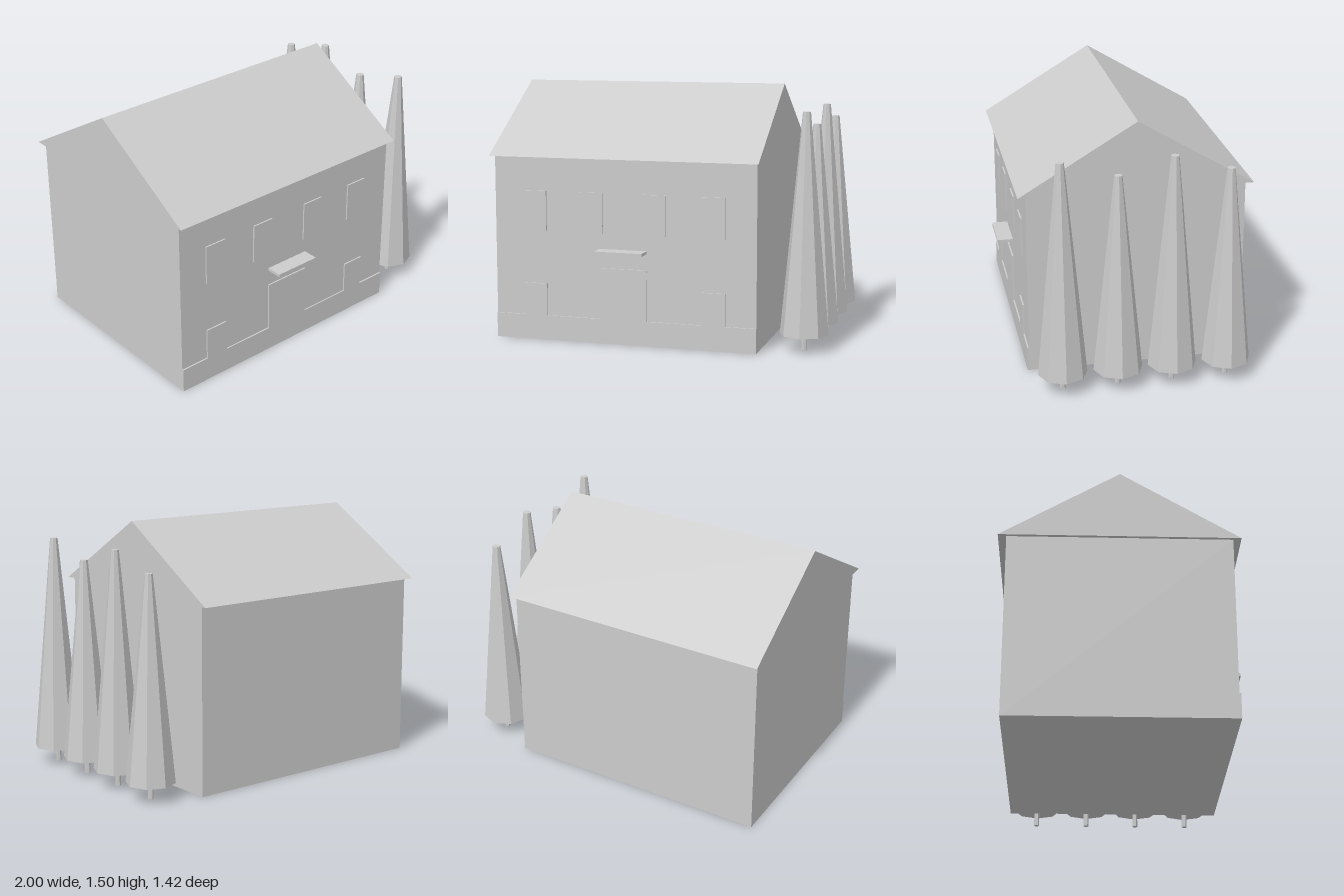
import * as THREE from 'three';

export function createModel() {
  const model = new THREE.Group();
  const grey = new THREE.MeshStandardMaterial({ color: 0xcccccc });
  grey.name = 'plain grey';

  const add = (name, geometry, parent = model) => {
    const mesh = new THREE.Mesh(geometry, grey);
    mesh.name = name;
    parent.add(mesh);
    return mesh;
  };

  // Box given by its low and high limits on each axis
  const addBox = (name, [x0, x1], [y0, y1], [z0, z1], parent) =>
    add(name, new THREE.BoxGeometry(x1 - x0, y1 - y0, z1 - z0), parent)
      .position.set((x0 + x1) / 2, (y0 + y1) / 2, (z0 + z1) / 2);

  // Flat-faced tapering cylinder standing on y
  const addTaper = (name, rTop, rBottom, y0, y1, sides, parent) => {
    const g = new THREE.CylinderGeometry(rTop, rBottom, y1 - y0, sides).toNonIndexed();
    g.computeVertexNormals();
    add(name, g, parent).position.y = (y0 + y1) / 2;
  };

  const left = 0.61, right = -0.98, front = 0.618, back = -0.662, eaves = 1.093;
  const relief = 0.009;

  // House body
  addBox('walls', [right, left], [0, eaves], [back, front]);

  // Gable roof: triangle across z, extruded along x
  const gable = new THREE.Shape([
    new THREE.Vector2(-0.663, eaves),
    new THREE.Vector2(0.709, eaves),
    new THREE.Vector2(0.023, 1.505),
  ]);
  const roof = new THREE.ExtrudeGeometry(gable, { depth: 1.625, bevelEnabled: false });
  roof.rotateY(Math.PI / 2).translate(-1, 0, 0);
  add('roof', roof);

  // Raised plinth that steps up around the lower windows and the door
  const plinthTop = 0.147;
  const outline = [[right, 0], [left, 0], [left, plinthTop]];
  for (const [x0, x1, top] of [[0.289, 0.428, 0.339], [-0.332, -0.043, 0.45], [-0.8, -0.658, 0.339]]) {
    outline.push([x1, plinthTop], [x1, top], [x0, top], [x0, plinthTop]);
  }
  outline.push([right, plinthTop]);
  const plinth = new THREE.ExtrudeGeometry(
    new THREE.Shape(outline.map(([x, y]) => new THREE.Vector2(x, y))),
    { depth: relief, bevelEnabled: false });
  add('plinthDoorAndLowerWindows', plinth).position.z = front;

  // Upper windows
  for (const x of [-0.729, -0.38, 0.005, 0.359]) {
    addBox('upperWindow', [x - 0.07, x + 0.07], [0.652, 0.892], [front, front + relief]);
  }

  // Canopy over the door
  addBox('doorCanopy', [-0.332, -0.043], [0.546, 0.563], [front, 0.713]);

  // Row of trees beside the house
  [[0.457, 1.377], [0.135, 1.282], [-0.183, 1.377], [-0.504, 1.282]].forEach(([z, top]) => {
    const tree = new THREE.Group();
    tree.name = 'tree';
    addTaper('foliage', 0.023, 0.143, 0.098, top, 8, tree);
    addTaper('trunk', 0.016, 0.016, 0, 0.098, 6, tree);
    tree.position.set(0.855, 0, z);
    model.add(tree);
  });

  return model;
}
